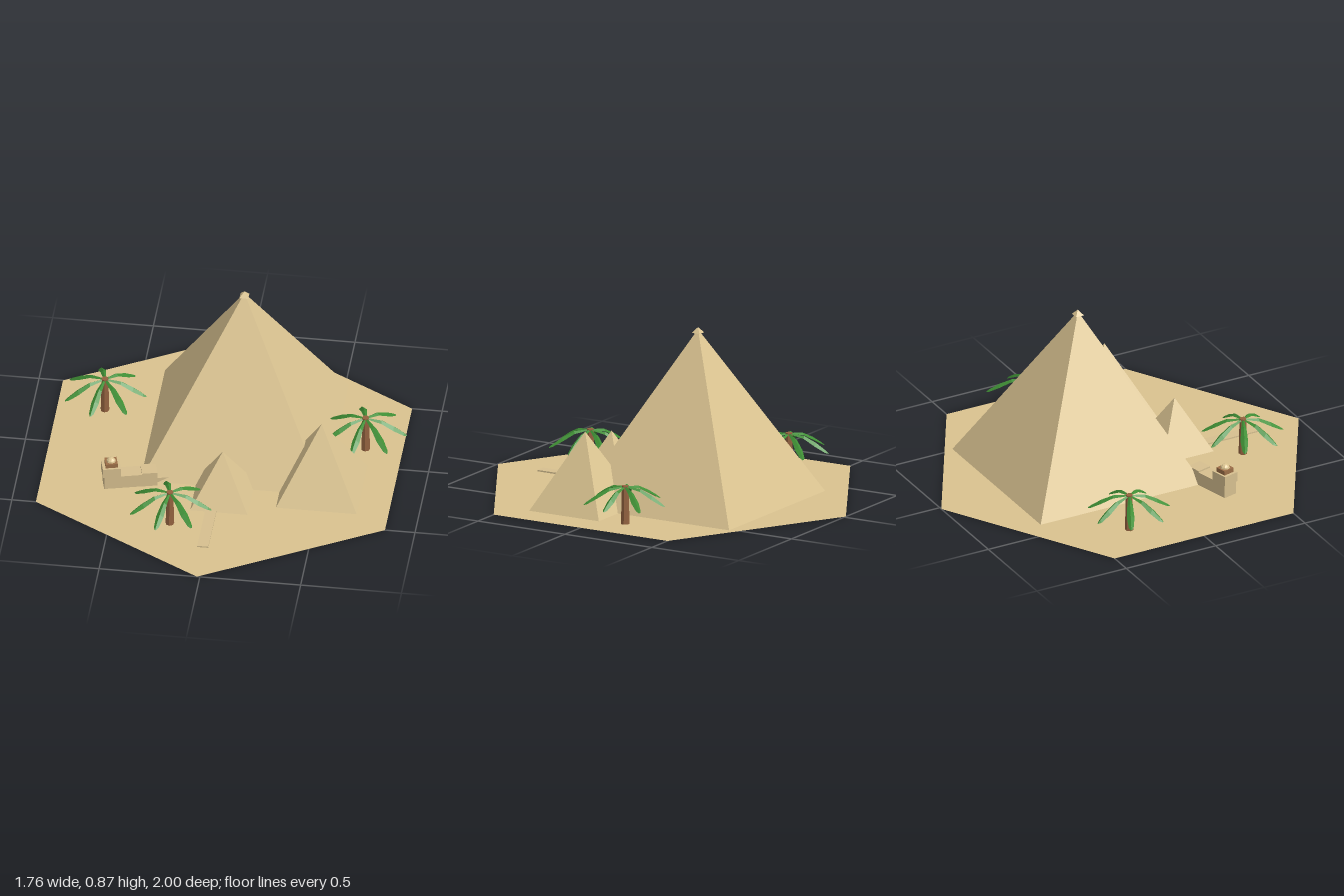
import * as THREE from 'three';

const flat = (name, color, side = THREE.FrontSide) =>
  new THREE.MeshStandardMaterial({ name, color, side, flatShading: true });

const ground = flat('desert sand', 0xd9c28f, THREE.DoubleSide);
const stone = flat('pyramid stone', 0xdcc592);
const carved = flat('carved stone', 0xd6bf8f);
const bark = flat('palm bark', 0x93623f);
const clay = flat('brown headdress', 0x9c6f48);
const leaf = flat('palm green', 0x3f8f35, THREE.DoubleSide);

function add(parent, name, geometry, material, x = 0, y = 0, z = 0) {
  const mesh = new THREE.Mesh(geometry, material);
  mesh.name = name;
  mesh.position.set(x, y, z);
  parent.add(mesh);
  return mesh;
}

// Box placed by the height of its underside
function block(parent, name, material, w, h, d, x, y, z) {
  return add(parent, name, new THREE.BoxGeometry(w, h, d), material, x, y + h / 2, z);
}

// Square pyramid with sides along x and z
function pyramid(parent, name, half, height, x, y, z) {
  const geo = new THREE.ConeGeometry(half * Math.SQRT2, height, 4);
  geo.rotateY(Math.PI / 4);
  return add(parent, name, geo, stone, x, y + height / 2, z);
}

// Drooping frond: a ridge with two sloping sides; rows are [reach, height, half width]
function frondGeometry() {
  const rows = [[0.01, 0.19, 0.006], [0.08, 0.182, 0.014], [0.14, 0.152, 0.019], [0.19, 0.118, 0.012], [0.206, 0.104, 0.003]];
  const pos = [];
  const point = ([r, y, w], s) => [r, y - Math.abs(s) * w * 0.8, s * w];
  for (let i = 0; i < rows.length - 1; i++) {
    for (const s of [-1, 1]) {
      const a = point(rows[i], 0), b = point(rows[i + 1], 0);
      const c = point(rows[i + 1], s), d = point(rows[i], s);
      const quad = s < 0 ? [a, b, c, a, c, d] : [a, c, b, a, d, c];
      quad.forEach((p) => pos.push(...p));
    }
  }
  const geo = new THREE.BufferGeometry();
  geo.setAttribute('position', new THREE.Float32BufferAttribute(pos, 3));
  geo.computeVertexNormals();
  return geo;
}

function palm(frond, x, z) {
  const tree = new THREE.Group();
  tree.name = 'palmTree';
  add(tree, 'trunk', new THREE.CylinderGeometry(0.017, 0.022, 0.193, 7), bark, 0, 0.0965, 0);
  for (let i = 0; i < 7; i++) {
    add(tree, 'frond', frond, leaf).rotation.y = (i / 7) * Math.PI * 2;
  }
  tree.position.set(x, 0, z);
  return tree;
}

// Reclining stone statue with a block head
function statue() {
  const g = new THREE.Group();
  g.name = 'statue';
  block(g, 'body', carved, 0.26, 0.07, 0.076, 0, 0, 0);
  block(g, 'haunches', carved, 0.075, 0.078, 0.078, 0.095, 0, 0);
  block(g, 'tail', carved, 0.1, 0.025, 0.024, 0.18, 0, 0);
  block(g, 'head', carved, 0.09, 0.05, 0.082, -0.092, 0.07, 0);
  block(g, 'headdress', clay, 0.06, 0.022, 0.06, -0.092, 0.12, 0);
  add(g, 'crown', new THREE.SphereGeometry(0.025, 8, 6), stone, -0.092, 0.138, 0);
  g.position.set(-0.445, 0, 0.283);
  g.rotation.y = 0.25;
  return g;
}

export function createModel() {
  const model = new THREE.Group();
  model.name = 'desertPyramids';

  // Hexagonal ground with a corner toward front and back
  const hex = new THREE.CircleGeometry(1, 6, Math.PI / 2);
  hex.rotateX(-Math.PI / 2);
  add(model, 'ground', hex, ground, -0.015, 0, 0);

  // Three pyramids and the capstone
  pyramid(model, 'greatPyramid', 0.455, 0.86, 0.06, 0, -0.195);
  pyramid(model, 'capstone', 0.022, 0.028, 0.06, 0.843, -0.195);
  pyramid(model, 'middlePyramid', 0.2, 0.385, 0.495, 0, 0.19);
  pyramid(model, 'smallPyramid', 0.142, 0.268, 0.022, 0, 0.325);

  // Low causeway leading to the small pyramid
  block(model, 'causeway', carved, 0.055, 0.007, 0.66, -0.018, 0, 0.43);

  model.add(statue());

  const frond = frondGeometry();
  for (const [x, z] of [[-0.645, -0.29], [-0.205, 0.585], [0.668, -0.145]]) model.add(palm(frond, x, z));

  return model;
}
